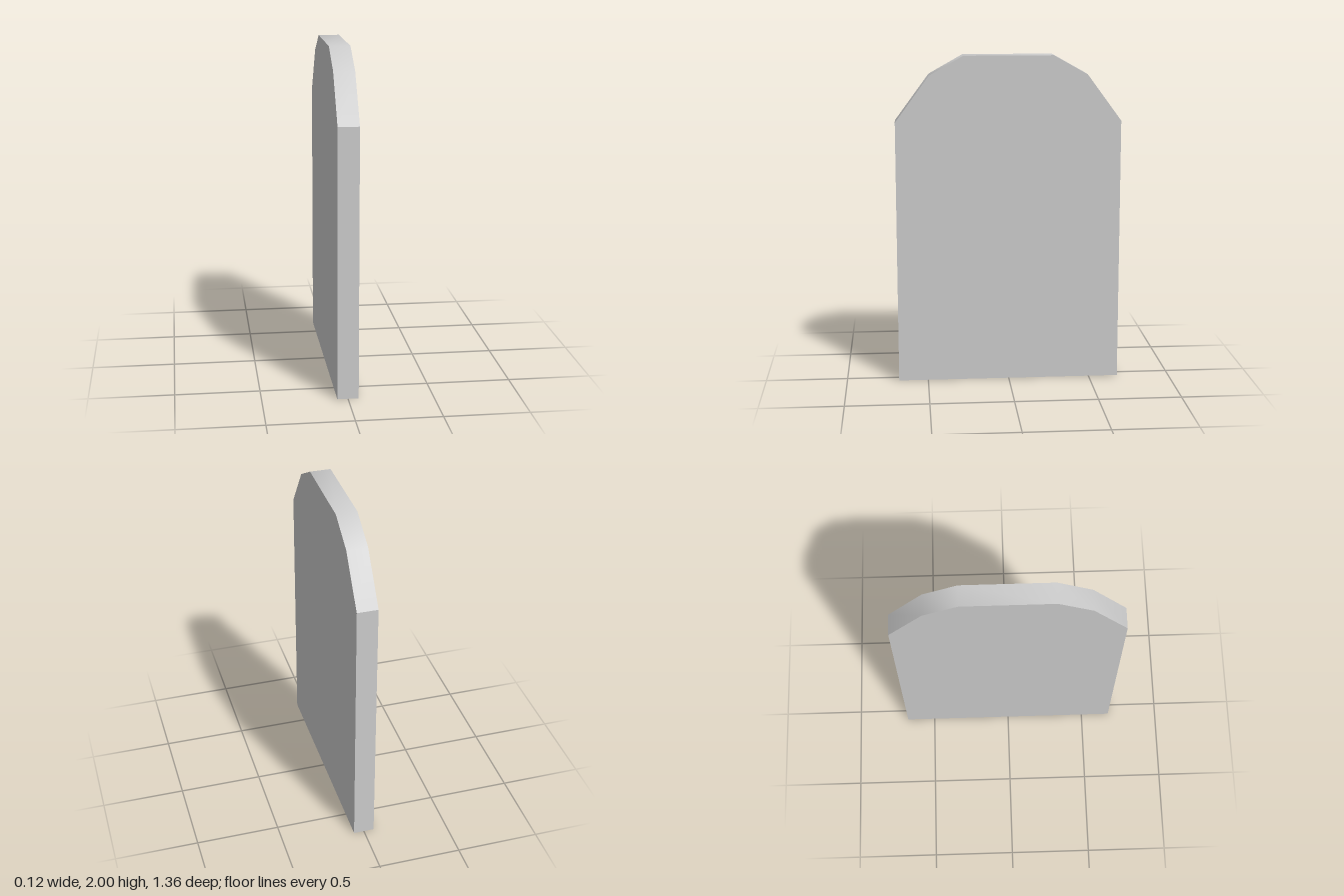
import * as THREE from 'three';
import { toCreasedNormals } from 'three/addons/utils/BufferGeometryUtils.js';

const THICKNESS = 0.125;

export function createModel() {
  const group = new THREE.Group();
  group.name = 'archedSlab';

  // Half outline from the foot to the crown, mirrored for the other half
  const half = [[0.68, 0], [0.68, 1.605], [0.474, 1.885], [0.27, 2]];
  const mirrored = half.map(([u, y]) => [-u, y]).reverse();
  const outline = [...half, ...mirrored].map(([u, y]) => new THREE.Vector2(u, y));

  // Upright slab, thin along x
  const slab = new THREE.ExtrudeGeometry(new THREE.Shape(outline), {
    depth: THICKNESS,
    bevelEnabled: false,
  });
  slab.translate(0, 0, -THICKNESS / 2);
  slab.rotateY(Math.PI / 2);

  // The faceted arch shades smoothly; the shoulders and rims stay sharp
  const mesh = new THREE.Mesh(
    toCreasedNormals(slab, THREE.MathUtils.degToRad(32)),
    new THREE.MeshStandardMaterial({ color: 0xcccccc })
  );
  mesh.name = 'slab';
  group.add(mesh);

  return group;
}
